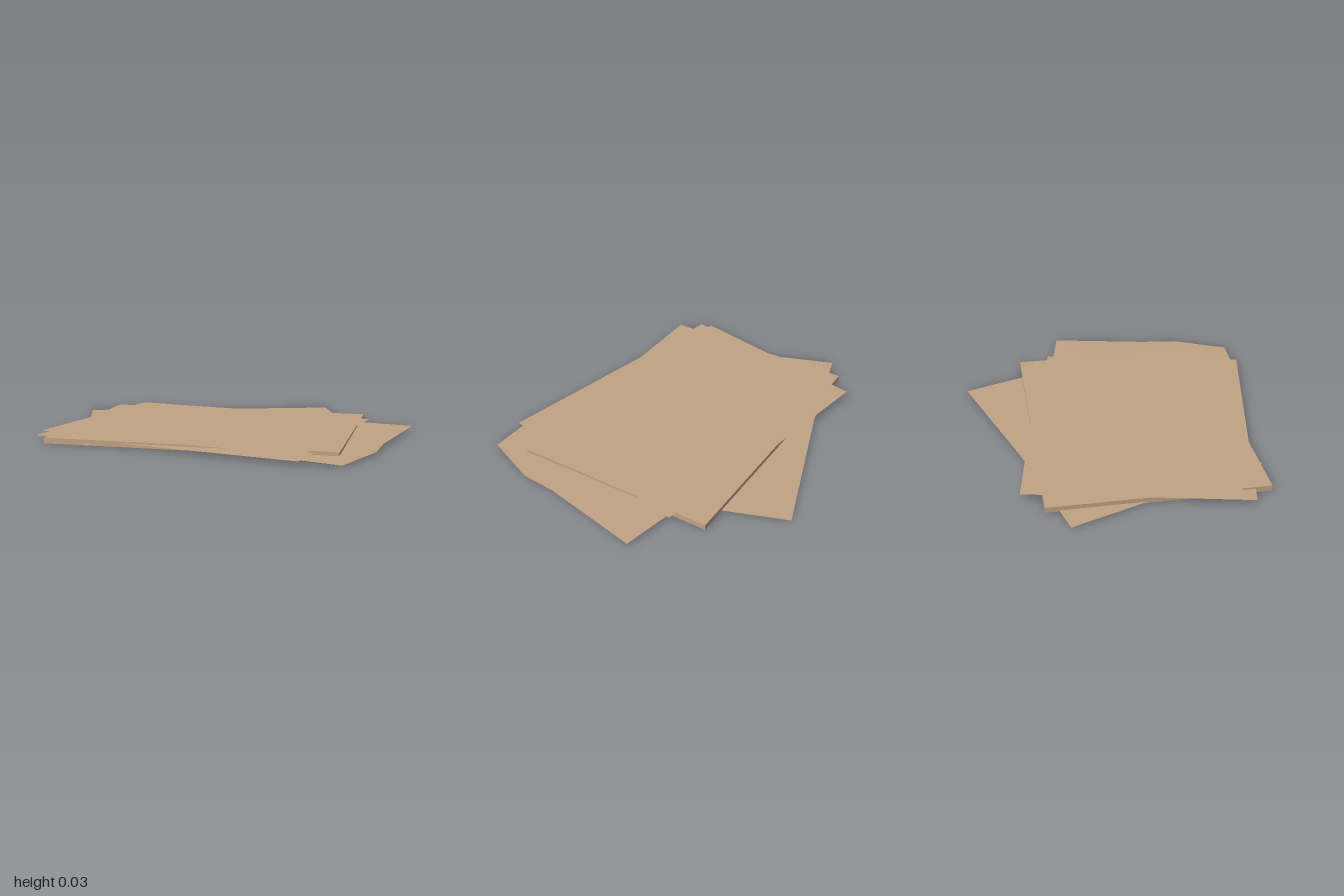
import * as THREE from 'three';

const paper = new THREE.MeshStandardMaterial({ color: 0xc0a284, side: THREE.DoubleSide });
paper.name = 'kraft paper';

// One loose sheet: outline as [x, z] points seen from above, at a given height
function sheet(name, height, outline, droop = () => 0) {
  const shape = new THREE.Shape(outline.map(([x, z]) => new THREE.Vector2(x, -z)));
  const geo = new THREE.ShapeGeometry(shape).rotateX(-Math.PI / 2);
  const pos = geo.attributes.position;
  for (let i = 0; i < pos.count; i++) {
    pos.setY(i, height - droop(pos.getX(i), pos.getZ(i)));
  }
  geo.computeVertexNormals();
  const mesh = new THREE.Mesh(geo, paper);
  mesh.name = name;
  return mesh;
}

export function createModel() {
  const group = new THREE.Group();
  group.name = 'paperStack';

  // Squared-up pile
  const pile = new THREE.Mesh(new THREE.BoxGeometry(1.555, 0.03, 1.14), paper);
  pile.name = 'pile';
  pile.position.set(-0.0775, 0.015, 0.06);
  group.add(pile);

  // Loose sheets, from the lowest to the top one
  group.add(sheet('lowestSheet', 0.007, [
    [-1, -0.4], [-0.4, -0.568], [0.42, -0.845], [0.8, 0.205], [-0.62, 0.65],
  ]));
  // Its front right corner is bent inward and sags
  group.add(sheet('bentSheet', 0.017, [
    [-0.475, -0.545], [1, -0.25], [0.885, 0.3], [0.865, 0.51],
    [0.735, 0.815], [0.54, 0.8], [0.3, 0.74], [-0.7, 0.53],
  ], (x, z) => (x > 0.7 && z > 0.4 ? (z - 0.4) * 0.025 : 0)));
  group.add(sheet('middleSheet', 0.02, [
    [-0.72, -0.55], [0.755, -0.24], [0.53, 0.835], [-0.95, 0.525],
  ]));
  group.add(sheet('topSheet', 0.032, [
    [-0.725, -0.62], [-0.06, -0.51], [0.75, -0.33], [0.53, 0.745],
    [-0.14, 0.63], [-0.95, 0.455],
  ]));

  return group;
}
